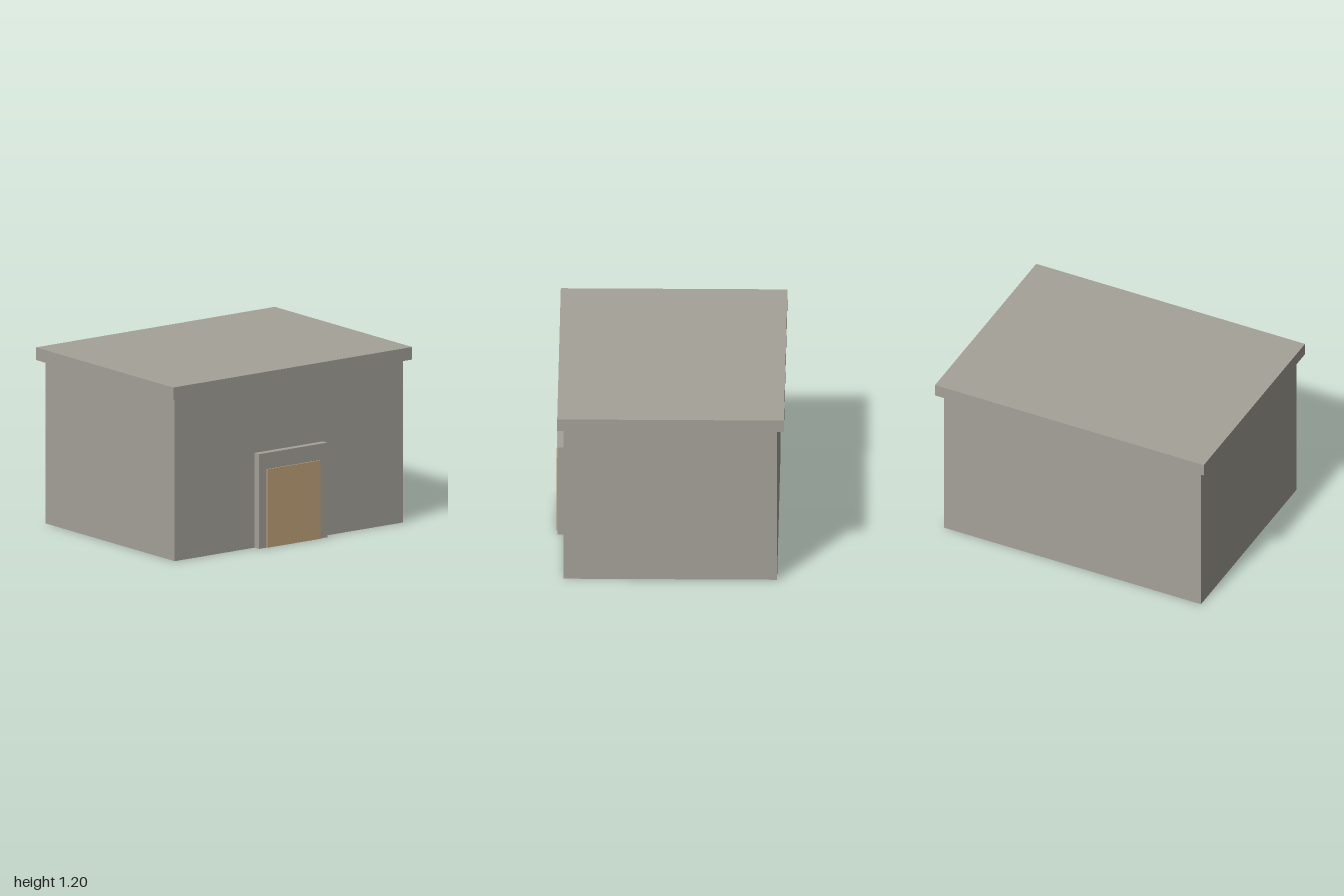
import * as THREE from 'three';

const stone = new THREE.MeshStandardMaterial({ color: 0xa5a299 });
stone.name = 'warm grey stone';
const wood = new THREE.MeshStandardMaterial({ color: 0xc2a47a });
wood.name = 'tan wood';

// Box given by its half width in x and its extents in y and z
function block(name, material, halfWidth, y0, y1, z0, z1) {
  const geometry = new THREE.BoxGeometry(halfWidth * 2, y1 - y0, z1 - z0);
  const mesh = new THREE.Mesh(geometry, material);
  mesh.name = name;
  mesh.position.set(0, (y0 + y1) / 2, (z0 + z1) / 2);
  return mesh;
}

export function createModel() {
  const group = new THREE.Group();
  group.name = 'flatRoofedBuilding';
  group.add(
    block('walls', stone, 0.956, 0, 1.114, -0.716, 0.706),
    // Overhanging flat slab
    block('roof', stone, 1, 1.114, 1.2, -0.762, 0.748),
    // Raised surround with the door panel on its face
    block('doorSurround', stone, 0.286, 0, 0.647, 0.706, 0.754),
    block('door', wood, 0.222, 0, 0.536, 0.754, 0.762),
  );
  return group;
}
